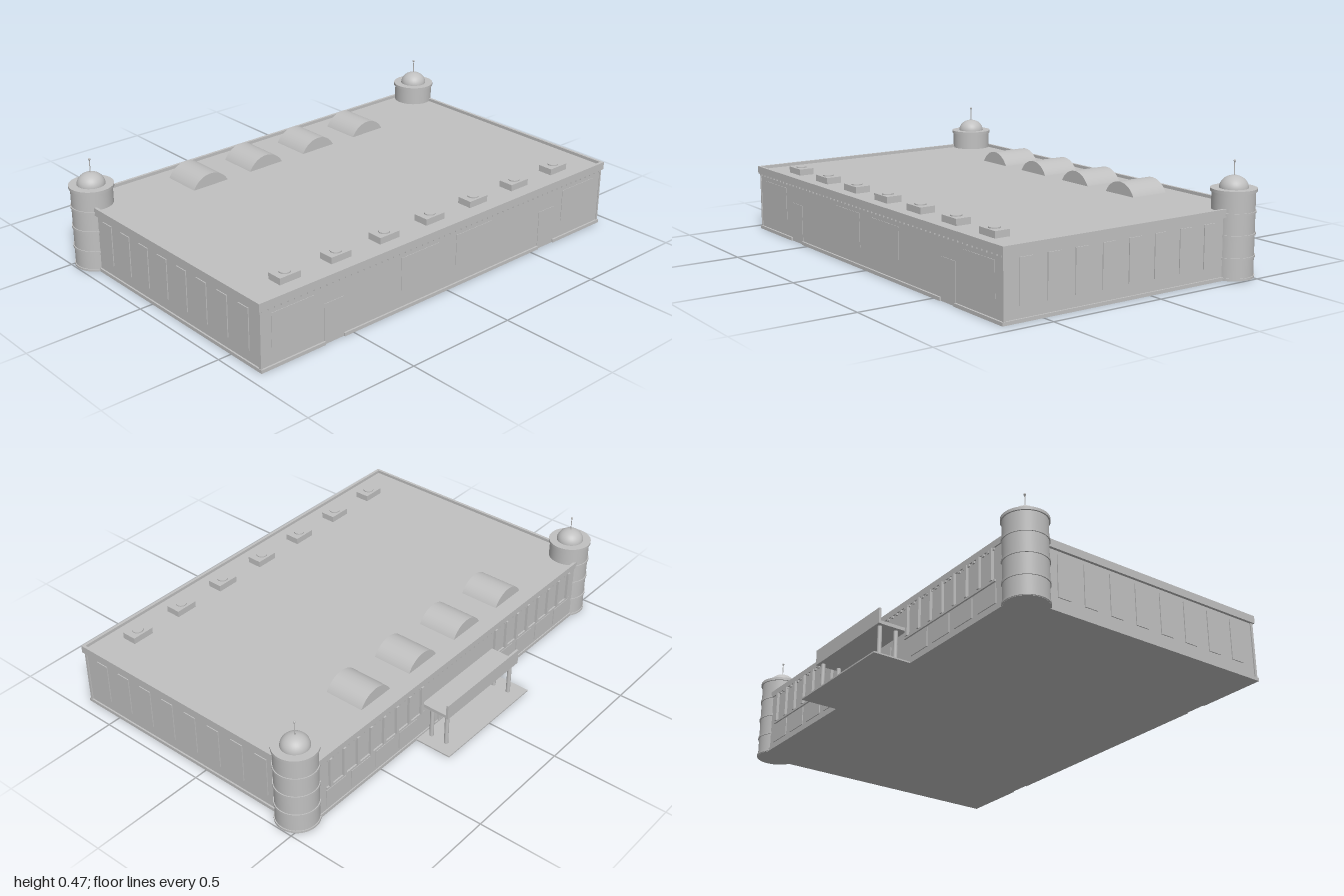
import * as THREE from 'three';

const stone = new THREE.MeshStandardMaterial({ color: 0xc0c0c0 });
stone.name = 'pale grey stone';

export function createModel() {
  const model = new THREE.Group();
  model.name = 'building';

  const add = (parent, name, geometry, x = 0, y = 0, z = 0) => {
    const mesh = new THREE.Mesh(geometry, stone);
    mesh.name = name;
    mesh.position.set(x, y, z);
    parent.add(mesh);
    return mesh;
  };
  // Box given by its minimum and maximum on each axis
  const box = (parent, name, x0, x1, y0, y1, z0, z1) =>
    add(parent, name, new THREE.BoxGeometry(x1 - x0, y1 - y0, z1 - z0),
      (x0 + x1) / 2, (y0 + y1) / 2, (z0 + z1) / 2);
  const group = (name) => {
    const g = new THREE.Group();
    g.name = name;
    model.add(g);
    return g;
  };

  // Main hall with a low parapet around the roof
  const hall = group('hall');
  box(hall, 'walls', -0.937, 0.937, 0, 0.272, -0.517, 0.672);
  for (const s of [-1, 1]) {
    box(hall, 'sideCornice', s * 0.943 - 0.006, s * 0.943 + 0.006, 0.252, 0.285, -0.522, 0.681);
    box(hall, 'sideBase', s * 0.94 - 0.004, s * 0.94 + 0.004, 0, 0.014, -0.52, 0.68);
  }
  box(hall, 'frontCornice', -0.949, 0.949, 0.252, 0.285, 0.668, 0.681);
  box(hall, 'backCornice', -0.937, 0.937, 0.258, 0.285, -0.523, -0.511);
  box(hall, 'backBase', -0.94, 0.94, 0, 0.014, -0.522, -0.516);

  // Base strips on the front leave gaps for two doors
  const front = group('front');
  for (const [a, b] of [[-0.943, -0.64], [-0.545, 0.545], [0.64, 0.943]])
    box(front, 'frontBase', a, b, 0, 0.014, 0.67, 0.68);
  for (const s of [-1, 1]) {
    box(front, 'door', s * 0.5925 - 0.0475, s * 0.5925 + 0.0475, 0, 0.17, 0.67, 0.674);
    box(front, 'cornerPilaster', s * 0.938 - 0.004, s * 0.938 + 0.004, 0.014, 0.252, 0.664, 0.675);
    for (const x of [0.15, 0.79])
      box(front, 'wallPanel', s * x - 0.1, s * x + 0.1, 0.085, 0.225, 0.67, 0.674);
  }
  for (let i = 0; i < 62; i++) {
    const x = -0.93 + i * 1.86 / 61;
    box(front, 'frontDentil', x - 0.006, x + 0.006, 0.243, 0.252, 0.67, 0.678);
    if (Math.abs(x) < 0.82)
      box(front, 'backDentil', x - 0.006, x + 0.006, 0.249, 0.258, -0.523, -0.515);
  }

  // Tall thin panels along both sides
  const sides = group('sidePanels');
  for (const s of [-1, 1])
    for (let i = 0; i < 8; i++) {
      const z = -0.3 + i * 0.125;
      box(sides, 'sidePanel', s * 0.938 - 0.003, s * 0.938 + 0.003, 0.06, 0.235, z - 0.03, z + 0.03);
    }

  // Back wall: narrow pilasters above, wide panels below
  const back = group('backFacade');
  for (const s of [-1, 1]) {
    for (let i = 0; i < 8; i++) {
      const x = s * (0.25 + i * 0.0785);
      box(back, 'backPilaster', x - 0.007, x + 0.007, 0.125, 0.258, -0.529, -0.515);
    }
    for (let i = 0; i < 4; i++) {
      const x = s * (0.33 + i * 0.145);
      box(back, 'lowerPanel', x - 0.055, x + 0.055, 0.03, 0.11, -0.521, -0.515);
    }
    box(back, 'backLedge', s * 0.525 - 0.295, s * 0.525 + 0.295, 0.117, 0.126, -0.524, -0.515);
    box(back, 'entranceDoor', s * 0.07 - 0.06, s * 0.07 + 0.06, 0.005, 0.125, -0.521, -0.515);
  }

  // Covered entrance
  const entrance = group('entrance');
  box(entrance, 'entranceSlab', -0.275, 0.275, 0, 0.006, -0.685, -0.515);
  box(entrance, 'canopy', -0.238, 0.238, 0.151, 0.165, -0.645, -0.515);
  box(entrance, 'canopyFascia', -0.24, 0.24, 0.151, 0.217, -0.646, -0.636);
  for (const x of [-0.215, 0.215])
    for (const z of [-0.552, -0.625])
      add(entrance, 'canopyColumn', new THREE.CylinderGeometry(0.009, 0.009, 0.146, 16), x, 0.079, z);

  // Barrel-vaulted skylights: arc of radius R over a flat chord
  const skylights = group('skylights');
  const half = 0.0875, rise = 0.054;
  const R = (half * half + rise * rise) / (2 * rise);
  const a = Math.asin(half / R);
  const arch = new THREE.Shape();
  arch.absarc(0, rise - R, R, Math.PI / 2 - a, Math.PI / 2 + a, false);
  arch.closePath();
  const vault = new THREE.ExtrudeGeometry(arch, { depth: 0.175, bevelEnabled: false, curveSegments: 20 });
  for (let i = 0; i < 4; i++)
    add(skylights, 'skylight', vault, -0.446 + i * 0.295, 0.271, -0.443);

  // Row of roof vents
  const vents = group('roofVents');
  for (let i = -3; i <= 3; i++) {
    const x = i * 0.247;
    box(vents, 'ventBox', x - 0.05, x + 0.05, 0.271, 0.299, 0.537, 0.603);
    add(vents, 'ventFan', new THREE.CylinderGeometry(0.023, 0.023, 0.006, 20), x, 0.301, 0.57);
  }

  // Round corner towers with bands, rim, dome and spire
  for (const s of [-1, 1]) {
    const tower = group(s > 0 ? 'leftTower' : 'rightTower');
    tower.position.set(s * 0.908, 0, -0.45);
    add(tower, 'shaft', new THREE.CylinderGeometry(0.086, 0.086, 0.35, 40), 0, 0.175);
    for (const y of [0.006, 0.087, 0.176, 0.263])
      add(tower, 'band', new THREE.CylinderGeometry(0.09, 0.09, 0.009, 40), 0, y);
    add(tower, 'rim', new THREE.CylinderGeometry(0.092, 0.092, 0.012, 40), 0, 0.349);
    const dome = add(tower, 'dome',
      new THREE.SphereGeometry(0.058, 32, 12, 0, Math.PI * 2, 0, Math.PI / 2), 0, 0.354);
    dome.scale.y = 0.87;
    add(tower, 'spire', new THREE.CylinderGeometry(0.002, 0.002, 0.06, 8), 0, 0.432);
    add(tower, 'spireBall', new THREE.SphereGeometry(0.005, 12, 8), 0, 0.461);
  }
  return model;
}
